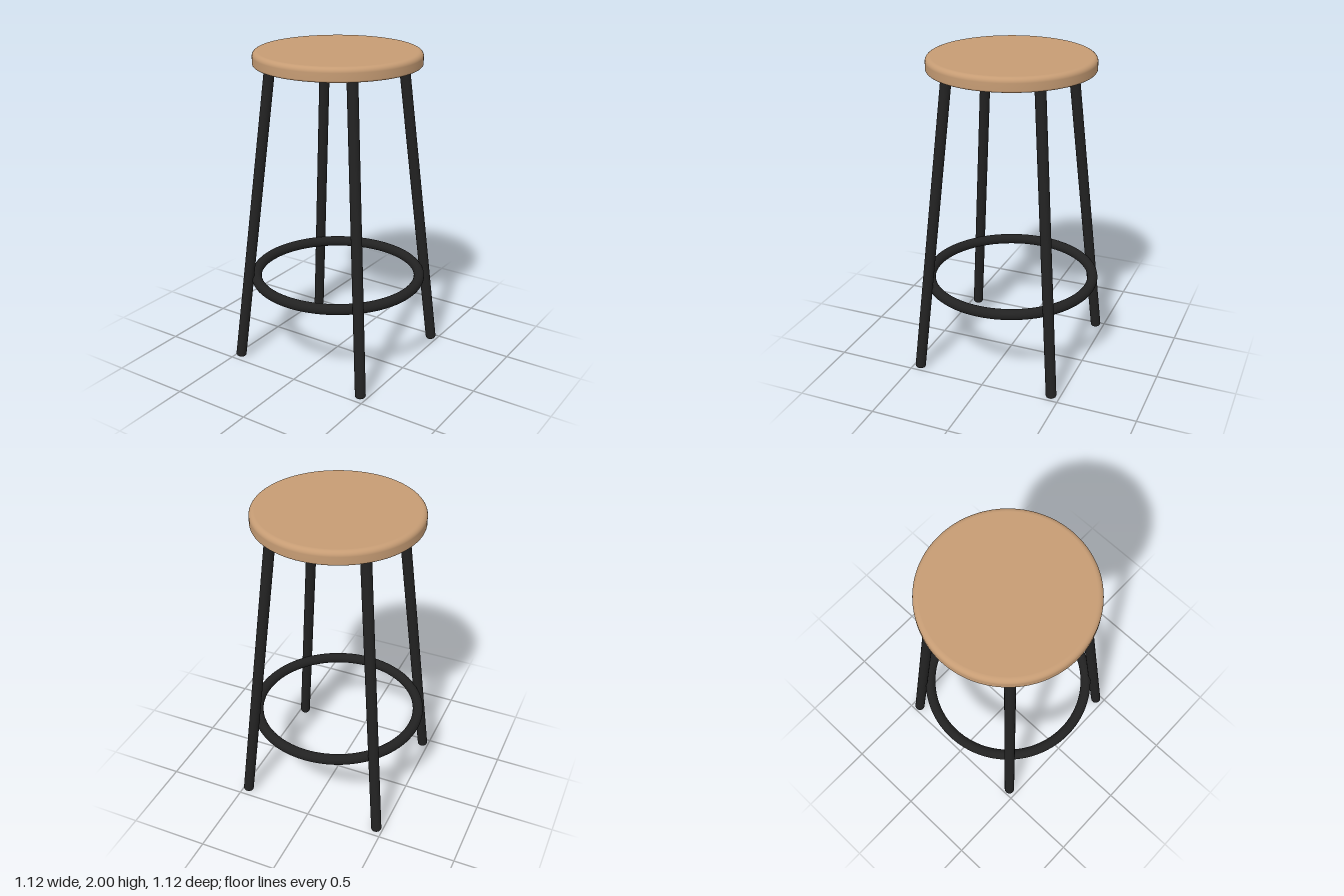
import * as THREE from 'three';

const wood = new THREE.MeshStandardMaterial({ color: 0xc69c74 });
wood.name = 'wood';
const blackMetal = new THREE.MeshStandardMaterial({ color: 0x222222 });
blackMetal.name = 'black metal';

// Solid of revolution from y = 0 to height, with rounded bottom and top edges
function roundedDisc(radius, height, bottomRound, topRound, segments) {
  const points = [new THREE.Vector2(0, 0), new THREE.Vector2(radius - bottomRound - 0.002, 0)];
  const steps = 6;
  for (const [r, y, start] of [[bottomRound, bottomRound, -Math.PI / 2], [topRound, height - topRound, 0]]) {
    for (let i = 0; i <= steps; i++) {
      const a = start + (i / steps) * Math.PI / 2;
      points.push(new THREE.Vector2(radius - r + r * Math.cos(a), y + r * Math.sin(a)));
    }
  }
  points.push(new THREE.Vector2(radius - topRound - 0.002, height), new THREE.Vector2(0, height));
  return new THREE.LatheGeometry(points, segments);
}

function addPart(group, name, geometry, material) {
  const mesh = new THREE.Mesh(geometry, material);
  mesh.name = name;
  group.add(mesh);
  return mesh;
}

export function createModel() {
  const stool = new THREE.Group();
  stool.name = 'stool';

  // Round seat
  addPart(stool, 'seat', roundedDisc(0.51, 0.085, 0.012, 0.03, 96), wood).position.y = 1.915;

  // Splayed tube legs with rounded feet
  const up = new THREE.Vector3(0, 1, 0);
  for (const [sx, xName] of [[1, 'Left'], [-1, 'Right']]) {
    for (const [sz, zName] of [[1, 'front'], [-1, 'back']]) {
      const foot = new THREE.Vector3(sx * 0.463, 0.003, sz * 0.45);
      const top = new THREE.Vector3(sx * 0.288, 1.925, sz * 0.288);
      const axis = top.clone().sub(foot);
      const leg = addPart(stool, `${zName}${xName}Leg`,
        roundedDisc(0.033, axis.length(), 0.016, 0.004, 24), blackMetal);
      leg.position.copy(foot);
      leg.quaternion.setFromUnitVectors(up, axis.normalize());
    }
  }

  // Footrest ring inside the legs
  const ring = addPart(stool, 'footrestRing', new THREE.TorusGeometry(0.525, 0.033, 20, 96), blackMetal);
  ring.rotation.x = Math.PI / 2;
  ring.position.y = 0.546;

  return stool;
}
